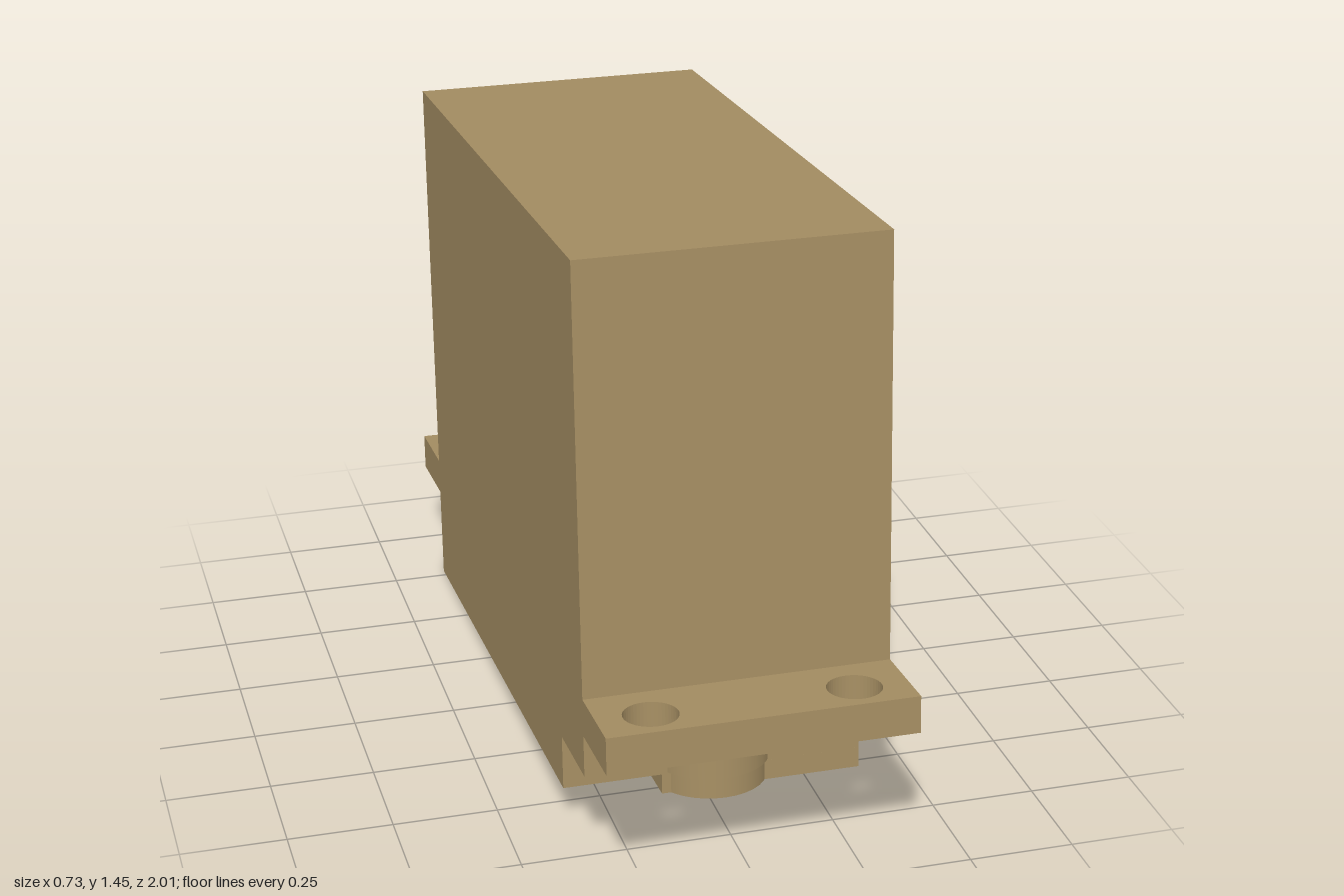
import * as THREE from 'three';

const HALF = 0.363; // half width of the casing
const TILT = -0.069; // whole unit leans, front raised

export function createModel() {
  const model = new THREE.Group();
  model.name = 'servoMotor';
  const unit = new THREE.Group();
  unit.name = 'tiltedUnit';
  unit.rotation.x = TILT;
  model.add(unit);

  const tan = new THREE.MeshStandardMaterial({ color: 0xa48d62 });
  tan.name = 'tan plastic';

  function add(name, geometry, x = 0, y = 0, z = 0) {
    const mesh = new THREE.Mesh(geometry, tan);
    mesh.name = name;
    mesh.position.set(x, y, z);
    unit.add(mesh);
  }

  // Casing: side profile (z, y) extruded across the width, notched at the lower front
  const profile = new THREE.Shape([
    [-0.773, 0.0565], [0.605, 0.0565], [0.605, 0.1885],
    [0.82, 0.1885], [0.82, 1.402], [-0.773, 1.402],
  ].map(([z, y]) => new THREE.Vector2(z, y)));
  const casing = new THREE.ExtrudeGeometry(profile, { depth: HALF * 2, bevelEnabled: false });
  casing.translate(0, 0, -HALF).rotateY(-Math.PI / 2);
  add('casing', casing);

  // Raised gear cover underneath, set to one side
  const coverLeft = -0.125;
  add('gearCover', new THREE.BoxGeometry(HALF - coverLeft, 0.05, 0.6285),
    (HALF + coverLeft) / 2, 0.0317, 0.2908);

  // Stepped shaft housing in the notch
  add('shaftCollar', new THREE.CylinderGeometry(0.143, 0.143, 0.13, 32), 0.0125, 0.125, 0.533);
  add('shaftTip', new THREE.CylinderGeometry(0.136, 0.136, 0.056, 32), 0.0125, 0.0347, 0.533);

  // Mounting flanges with two screw holes each
  function flange(name, z0, z1, holeZ) {
    const plate = new THREE.Shape();
    plate.moveTo(-HALF, z0).lineTo(HALF, z0).lineTo(HALF, z1).lineTo(-HALF, z1).closePath();
    for (const side of [-1, 1]) {
      plate.holes.push(new THREE.Path().absarc(side * 0.237, holeZ, 0.064, 0, Math.PI * 2, true));
    }
    const geometry = new THREE.ExtrudeGeometry(plate, { depth: 0.09, bevelEnabled: false, curveSegments: 24 });
    add(name, geometry.rotateX(Math.PI / 2), 0, 0.379, 0);
  }
  flange('frontFlange', 0.82, 1.028, 0.938);
  flange('backFlange', -0.976, -0.773, -0.895);

  return model;
}
